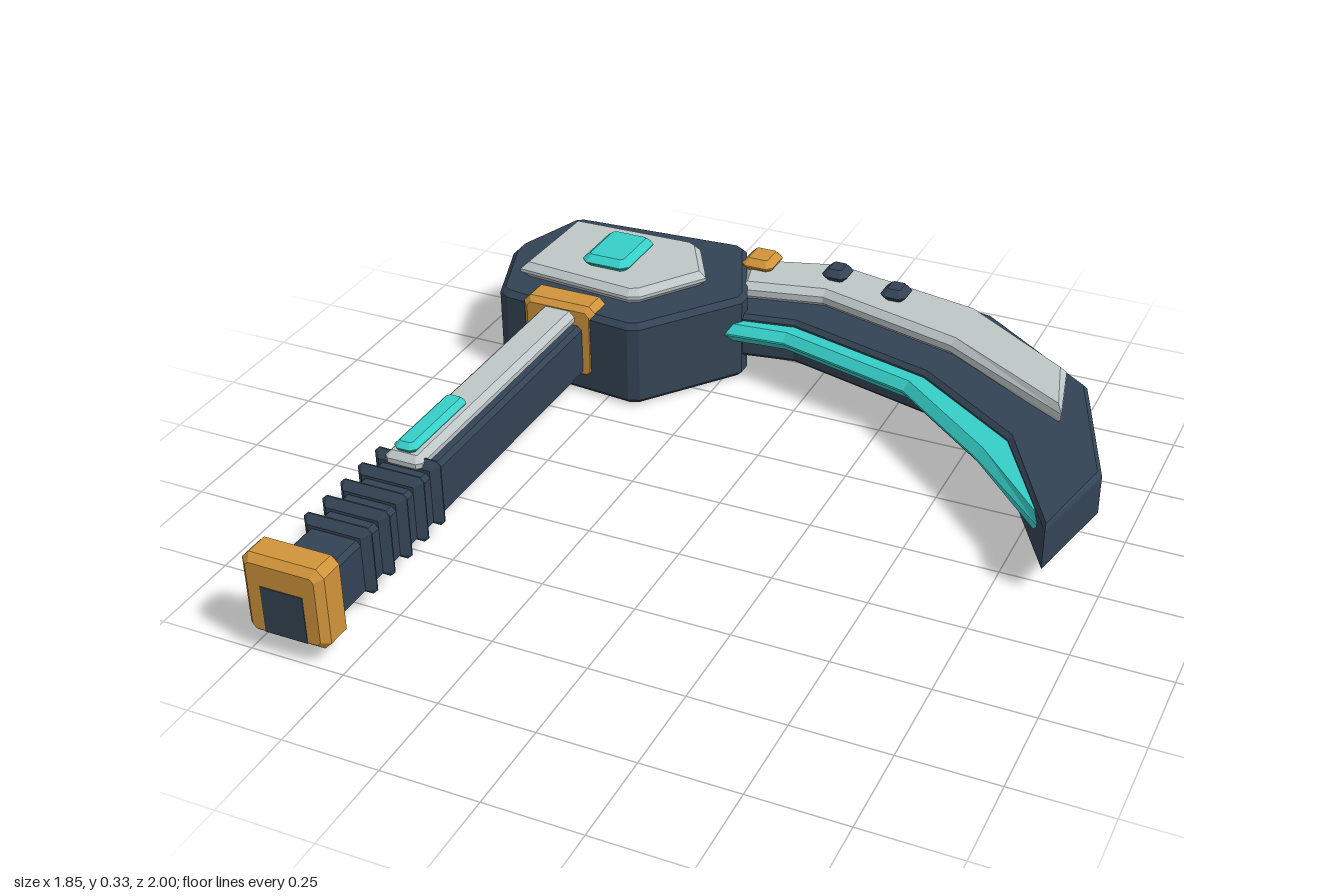
import * as THREE from 'three';

const material = (name, color) => {
  const m = new THREE.MeshStandardMaterial({ color });
  m.name = name;
  return m;
};

export function createModel() {
  const navy = material('navy', 0x334354);
  const silver = material('silver', 0xbec6c7);
  const teal = material('teal', 0x36cfc8);
  const amber = material('amber', 0xd0943a);
  const group = new THREE.Group();

  const add = (name, geometry, mat) => {
    const mesh = new THREE.Mesh(geometry, mat);
    mesh.name = name;
    group.add(mesh);
    return mesh;
  };

  // Chamfered slab whose widest outline is exactly the given points
  const slab = (points, height, bevel, thickness = bevel) => {
    const shape = new THREE.Shape(points.map(([x, y]) => new THREE.Vector2(x, y)));
    return new THREE.ExtrudeGeometry(shape, {
      depth: height - 2 * thickness, bevelEnabled: true, bevelSegments: 1,
      bevelSize: bevel, bevelThickness: thickness, bevelOffset: -bevel,
    }).translate(0, 0, thickness);
  };

  // Slab lying flat: outline in x and z, from y0 up to y1
  const plate = (name, outline, y0, y1, mat, bevel, thickness) => {
    const geometry = slab(outline.map(([x, z]) => [x, -z]), y1 - y0, bevel, thickness);
    return add(name, geometry.rotateX(-Math.PI / 2).translate(0, y0, 0), mat);
  };

  // Rectangle with clipped corners
  const rect = (a0, a1, b0, b1, c) => [
    [a0 + c, b0], [a1 - c, b0], [a1, b0 + c], [a1, b1 - c],
    [a1 - c, b1], [a0 + c, b1], [a0, b1 - c], [a0, b0 + c],
  ];

  // Slab standing upright: outline in x and y, from z0 to z1
  const upright = (name, outline, z0, z1, mat, bevel, thickness) =>
    add(name, slab(outline, z1 - z0, bevel, thickness).translate(0, 0, z0), mat);

  // Head block with its cover and gem
  plate('head', [
    [-0.86, -0.87], [-0.835, -0.888], [-0.345, -0.918], [-0.315, -0.9], [-0.205, -0.65],
    [-0.205, -0.61], [-0.4, -0.355], [-0.43, -0.343], [-0.82, -0.38], [-0.85, -0.4],
    [-0.928, -0.62], [-0.928, -0.67],
  ], 0, 0.25, navy, 0.015);
  plate('headCover', [
    [-0.815, -0.795], [-0.44, -0.803], [-0.41, -0.785], [-0.325, -0.635],
    [-0.445, -0.46], [-0.475, -0.445], [-0.825, -0.475],
  ], 0.25, 0.295, silver, 0.018);
  plate('headGem', rect(-0.662, -0.518, -0.72, -0.525, 0.02), 0.293, 0.33, teal, 0.02, 0.017);

  // Curved blade
  plate('blade', [
    [-0.42, -0.9], [-0.04, -1], [0.43, -0.905], [0.775, -0.64], [0.925, -0.24],
    [0.865, 0.048], [0.66, -0.31], [0.36, -0.525], [-0.06, -0.64], [-0.42, -0.58],
  ], 0.063, 0.195, navy, 0.012);
  plate('bladeCover', [
    [-0.29, -0.86], [-0.04, -0.937], [0.4, -0.845], [0.72, -0.625], [0.767, -0.413],
    [0.395, -0.635], [-0.02, -0.75], [-0.25, -0.7],
  ], 0.19, 0.245, silver, 0.018);
  plate('cuttingEdge', [
    [-0.24, -0.568], [-0.07, -0.583], [0.32, -0.475], [0.6, -0.24], [0.83, -0.01],
    [0.74, -0.3], [0.38, -0.58], [-0.06, -0.7], [-0.24, -0.67],
  ], 0.125, 0.178, teal, 0.02, 0.024);

  // Studs along the blade
  plate('bladeClasp', rect(-0.287, -0.193, -0.89, -0.785, 0.015), 0.235, 0.275, amber, 0.018);
  for (const [x, z] of [[-0.013, -0.847], [0.178, -0.803]]) {
    plate('bladeStud', rect(x - 0.037, x + 0.037, z - 0.042, z + 0.042, 0.015), 0.242, 0.28, navy, 0.018);
  }

  // Handle with inlay and light strip
  upright('handle', rect(-0.718, -0.572, 0.057, 0.21, 0.012), -0.5, 0.95, navy, 0.01);
  plate('handleInlay', rect(-0.697, -0.593, -0.4, 0.47, 0.012), 0.205, 0.25, silver, 0.016);
  plate('handleLight', rect(-0.677, -0.612, 0.19, 0.46, 0.015), 0.246, 0.277, teal, 0.014);

  // Grip rings
  for (let i = 0; i < 5; i++) {
    const z = 0.44 + i * 0.079;
    upright('gripRing', rect(-0.738, -0.552, 0.05, 0.238, 0.012), z - 0.021, z + 0.021, navy, 0.02, 0.019);
  }

  // Collar and pommel
  const cap = rect(-0.755, -0.535, 0.046, 0.268, 0.02);
  upright('collar', cap, -0.445, -0.352, amber, 0.015);
  upright('pommel', cap, 0.9, 0.999, amber, 0.018);
  const inset = add('pommelInset', new THREE.BoxGeometry(0.114, 0.128, 0.004), navy);
  inset.position.set(-0.645, 0.127, 0.999);

  return group;
}
